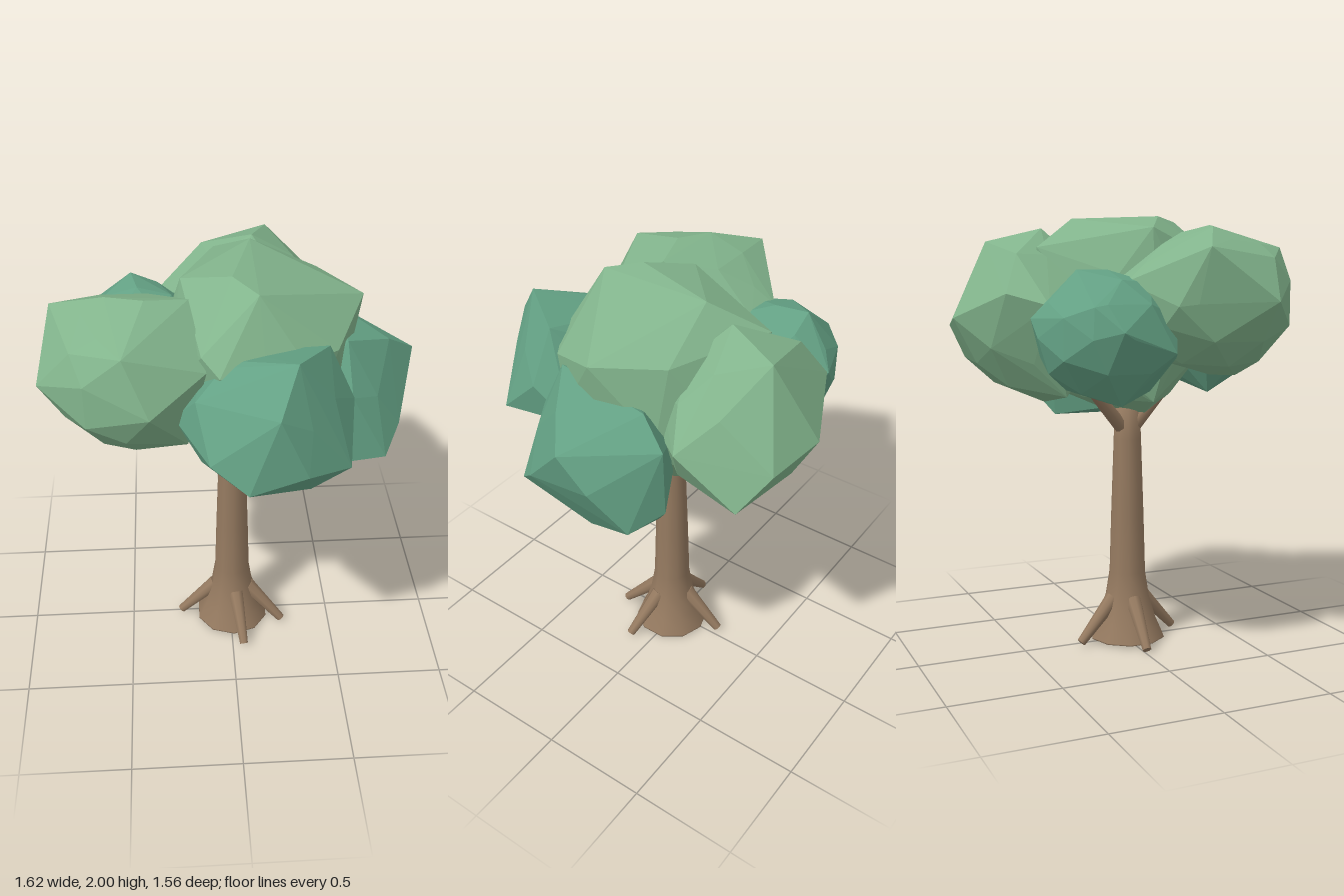
import * as THREE from 'three';
import { ConvexGeometry } from 'three/addons/geometries/ConvexGeometry.js';

const LIGHT = 0x82b48c, DARK = 0x64a285, BARK = 0x957a60;
const UP = new THREE.Vector3(0, 1, 0);

// Faceted leaf clump: hull around an ellipsoid core and a few outer corners
function clump(name, color, centre, radii, corners) {
  const c = new THREE.Vector3(...centre), r = new THREE.Vector3(...radii);
  const core = new THREE.IcosahedronGeometry(1, 1).attributes.position;
  const points = corners.map((p) => new THREE.Vector3(...p));
  for (let i = 0; i < core.count; i++) {
    points.push(new THREE.Vector3().fromBufferAttribute(core, i).multiply(r).add(c));
  }
  const mesh = new THREE.Mesh(new ConvexGeometry(points),
    new THREE.MeshStandardMaterial({ color, flatShading: true }));
  mesh.name = name;
  return mesh;
}

// Tapered limb running from a to b
function limb(name, a, b, ra, rb, material) {
  const from = new THREE.Vector3(...a), to = new THREE.Vector3(...b);
  const dir = to.clone().sub(from);
  const mesh = new THREE.Mesh(new THREE.CylinderGeometry(rb, ra, dir.length(), 8), material);
  mesh.position.copy(from).add(to).multiplyScalar(0.5);
  mesh.quaternion.setFromUnitVectors(UP, dir.normalize());
  mesh.name = name;
  return mesh;
}

export function createModel() {
  const tree = new THREE.Group();
  tree.name = 'tree';
  const bark = new THREE.MeshStandardMaterial({ color: BARK });
  const cx = 0.01, cz = 0.02;

  // Trunk with flared foot, closed at both ends
  const profile = [[0, 0.01], [0.18, 0.01], [0.179, 0.015], [0.14, 0.1], [0.106, 0.21],
    [0.087, 0.33], [0.079, 0.6], [0.066, 0.97], [0.06, 1.12], [0, 1.12]];
  const trunk = new THREE.Mesh(
    new THREE.LatheGeometry(profile.map(([r, y]) => new THREE.Vector2(r, y)), 10), bark);
  trunk.position.set(cx, 0, cz);
  trunk.name = 'trunk';
  tree.add(trunk);

  // Roots reaching out and down around the foot
  const roots = new THREE.Group();
  roots.name = 'roots';
  for (const deg of [19, 80, 183, 260]) {
    const c = Math.cos(deg * Math.PI / 180), s = Math.sin(deg * Math.PI / 180);
    roots.add(limb('root', [cx + 0.08 * c, 0.205, cz + 0.08 * s],
      [cx + 0.26 * c, 0.017, cz + 0.26 * s], 0.038, 0.021, bark));
  }
  tree.add(roots);

  // Branches rising into the crown
  const branches = new THREE.Group();
  branches.name = 'branches';
  for (const tip of [[-0.14, 1.4, 0.3], [-0.13, 1.36, -0.33], [0.35, 1.3, 0.03]]) {
    branches.add(limb('branch', [cx, 0.99, cz], tip, 0.035, 0.022, bark));
  }
  tree.add(branches);

  // Crown of overlapping leaf clumps
  const crown = new THREE.Group();
  crown.name = 'crown';
  crown.add(
    clump('centreLeaves', LIGHT, [0.1, 1.52, 0], [0.43, 0.42, 0.44], [
      [0.57, 1.83, 0.02], [0.27, 1.91, 0.03], [0.1, 1.985, -0.22], [0, 2, 0.17],
      [0.1, 1.98, 0.3], [-0.21, 1.94, 0.05], [-0.07, 1.72, 0.5], [0.12, 1.7, 0.46],
      [0.28, 1.72, 0.4], [-0.14, 1.78, 0.43], [0.43, 1.72, 0.3], [0.4, 1.83, -0.25],
      [-0.05, 1.85, -0.44], [-0.32, 1.33, 0.05], [-0.28, 1.17, 0.02], [0.02, 1.07, 0.1],
      [0.12, 1.08, 0]]),
    clump('frontRightLeaves', LIGHT, [-0.45, 1.61, 0.21], [0.32, 0.31, 0.37], [
      [-0.81, 1.62, 0.34], [-0.76, 1.84, 0.05], [-0.69, 1.6, -0.06], [-0.66, 1.8, 0.4],
      [-0.45, 1.85, 0.55], [-0.35, 1.62, 0.63], [-0.52, 1.93, 0.18], [-0.36, 1.945, 0.25],
      [-0.18, 1.92, 0.2], [-0.48, 1.7, -0.2], [-0.32, 1.7, -0.18], [-0.12, 1.72, 0.45],
      [-0.42, 1.29, 0.35], [-0.2, 1.36, 0.42], [-0.68, 1.42, 0.2]]),
    clump('backLeaves', LIGHT, [0.12, 1.52, -0.4], [0.36, 0.35, 0.32], [
      [-0.33, 1.6, -0.48], [-0.2, 1.65, -0.63], [0.11, 1.54, -0.78], [0.37, 1.5, -0.73],
      [0.48, 1.34, -0.63], [0.54, 1.55, -0.37], [0.33, 1.75, -0.36], [0.2, 1.88, -0.6],
      [0.12, 1.94, -0.36], [-0.1, 1.82, -0.55], [0.2, 1.33, -0.63], [0.1, 1.15, -0.36],
      [-0.2, 1.2, -0.36]]),
    clump('leftLeaves', DARK, [0.48, 1.38, 0.02], [0.27, 0.29, 0.31], [
      [0.81, 1.55, 0], [0.79, 1.4, -0.13], [0.48, 1.72, 0.23], [0.5, 1.66, -0.2],
      [0.73, 1.3, 0.23], [0.6, 1.05, 0.02], [0.4, 1.05, -0.2], [0.4, 1.05, 0.15],
      [0.48, 1.2, 0.37], [0.66, 1.2, 0.34], [0.7, 1.2, -0.26], [0.55, 1.25, -0.34],
      [0.55, 1.55, -0.33], [0.15, 1.11, 0.05], [0.5, 1.5, 0.33], [0.68, 1.65, 0.1]]),
    clump('frontLeaves', DARK, [0.12, 1.49, 0.44], [0.33, 0.29, 0.29], [
      [0.23, 1.84, 0.6], [0.03, 1.77, 0.45], [0.38, 1.79, 0.38], [-0.26, 1.52, 0.45],
      [-0.17, 1.65, 0.55], [0.03, 1.35, 0.78], [0.27, 1.4, 0.74], [0.46, 1.35, 0.61],
      [0.15, 1.67, 0.74], [0.49, 1.55, 0.4], [-0.07, 1.18, 0.4], [-0.12, 1.45, 0.71],
      [0.3, 1.24, 0.6], [0.47, 1.42, 0.22]]),
    clump('backRightLeaves', DARK, [-0.4, 1.47, -0.25], [0.29, 0.28, 0.31], [
      [-0.7, 1.5, -0.3], [-0.66, 1.41, -0.05], [-0.55, 1.19, -0.25], [-0.33, 1.19, -0.2],
      [-0.34, 1.55, -0.57], [-0.63, 1.6, -0.4], [-0.43, 1.75, -0.4]]),
  );
  tree.add(crown);
  return tree;
}
